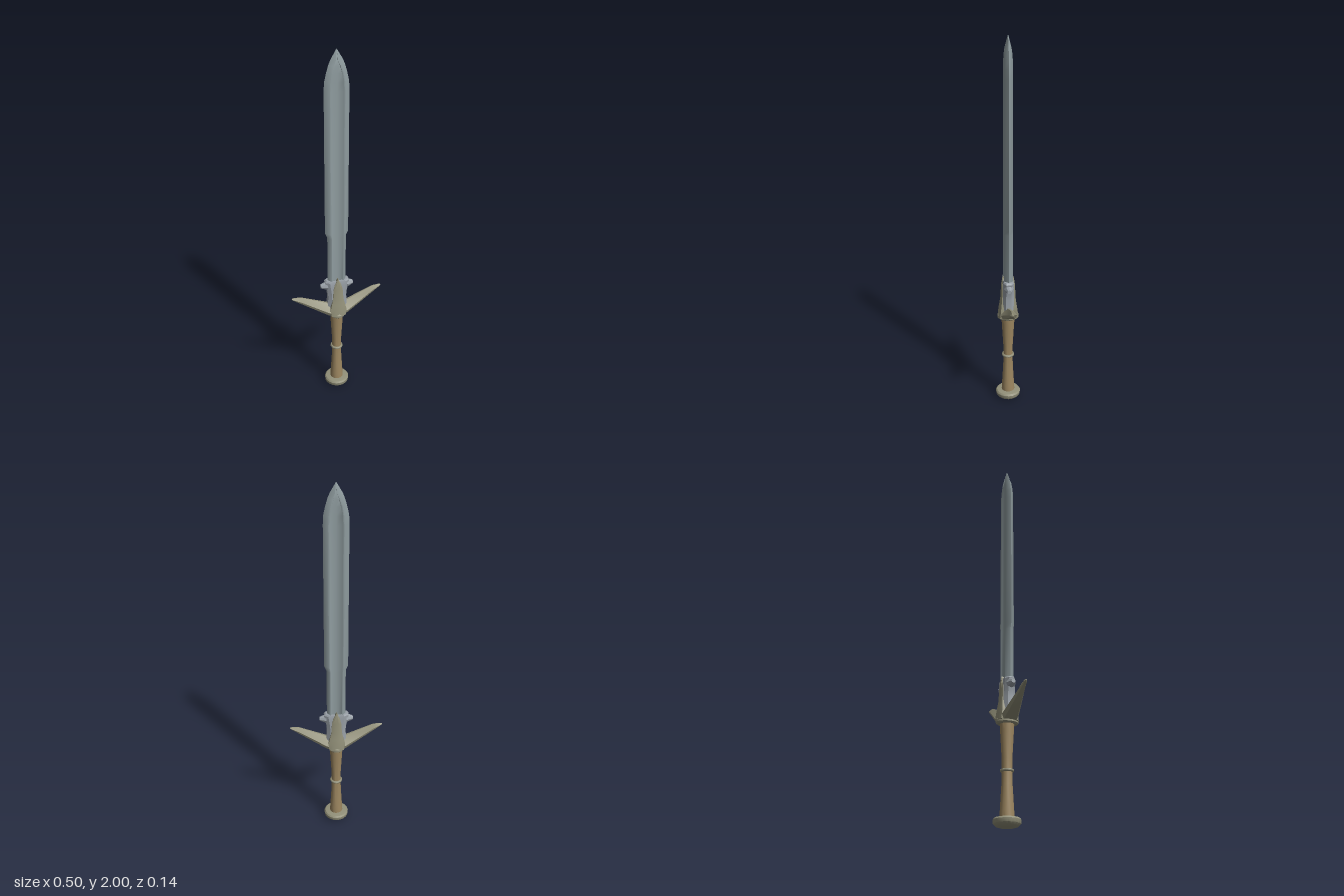
import * as THREE from 'three';
import { toCreasedNormals } from 'three/addons/utils/BufferGeometryUtils.js';

const material = (color) => new THREE.MeshStandardMaterial({ color });
const steel = material(0x8f9c9f);
const silver = material(0x9aa1a8);
const brass = material(0x929079);
const leather = material(0x9c8660);

function mesh(name, geometry, mat, crease = 0.5) {
  const m = new THREE.Mesh(toCreasedNormals(geometry, crease), mat);
  m.name = name;
  return m;
}

// Skin a list of rings (each counter-clockwise seen from the far end) and cap both ends
function loft(rings) {
  const n = rings[0].length;
  const positions = rings.flat(2);
  const index = [];
  for (let i = 0; i < rings.length - 1; i++) {
    for (let j = 0; j < n; j++) {
      const a = i * n + j, b = i * n + (j + 1) % n;
      index.push(a, b, b + n, a, b + n, a + n);
    }
  }
  for (const [ring, flip] of [[0, true], [rings.length - 1, false]]) {
    const centre = positions.length / 3;
    const c = [0, 1, 2].map((k) => rings[ring].reduce((s, p) => s + p[k], 0) / n);
    positions.push(...c);
    for (let j = 0; j < n; j++) {
      const a = ring * n + j, b = ring * n + (j + 1) % n;
      index.push(centre, flip ? b : a, flip ? a : b);
    }
  }
  const g = new THREE.BufferGeometry();
  g.setAttribute('position', new THREE.Float32BufferAttribute(positions, 3));
  g.setIndex(index);
  return g;
}

// Horizontal ring from a quarter section that runs from the +x edge to the middle of the face
function mirroredRing(y, quarter) {
  const mirrored = quarter.slice(1, -1).reverse().map(([x, z]) => [-x, z]);
  const half = [...quarter, ...mirrored];
  return [...half.map(([x, z]) => [x, y, -z]), ...half.map(([x, z]) => [-x, y, z])];
}

// Blade: half width, half thickness and fuller half width at each height
function blade() {
  const stations = [
    [0.56, 0.05, 0.023, 0.03], [1.0, 0.05, 0.023, 0.03], [1.03, 0.062, 0.023, 0.034],
    [1.8, 0.062, 0.021, 0.034], [1.845, 0.06, 0.021, 0.032], [1.89, 0.05, 0.02, 0.024],
    [1.925, 0.04, 0.018, 0.014], [1.95, 0.03, 0.014, 0.003], [2.0, 0.001, 0.001, 0.0004],
  ];
  return loft(stations.map(([y, w, t, f]) => mirroredRing(y, [
    [w, 0], [f + (w - f) * 0.15, t], [f, t], [f * 0.88, t * 0.75], [0, t * 0.72],
  ])));
}

// Sleeve around the foot of the blade
function sleeve() {
  const stations = [
    [0.54, 0.054, 0.03], [0.63, 0.05, 0.029], [0.665, 0.054, 0.028],
    [0.7, 0.062, 0.028], [0.725, 0.066, 0.027], [0.733, 0.058, 0.025],
  ];
  return loft(stations.map(([y, w, t]) => mirroredRing(y, [
    [w, 0], [w, t * 0.5], [w * 0.65, t], [0, t],
  ])));
}

// Pointed middle of the guard, lying over the sleeve front and back
function langet() {
  const stations = [
    [0.515, 0.04, 0.054], [0.55, 0.045, 0.05], [0.585, 0.037, 0.045],
    [0.62, 0.029, 0.04], [0.68, 0.025, 0.037], [0.71, 0.018, 0.035], [0.748, 0.001, 0.029],
  ];
  return loft(stations.map(([y, w, t]) => mirroredRing(y, [
    [w, 0], [w, t * 0.85], [w * 0.5, t], [0, t],
  ])));
}

// One arm of the guard: bottom, top and half depth along its length
function guardArm() {
  const stations = [
    [0, 0.512, 0.585, 0.052], [0.05, 0.516, 0.582, 0.043], [0.2, 0.611, 0.647, 0.014],
    [0.235, 0.634, 0.65, 0.009], [0.248, 0.642, 0.648, 0.004],
  ];
  return loft(stations.map(([x, lo, hi, d]) => {
    const mid = lo + (hi - lo) * 0.35;
    return [[x, lo, -d * 0.75], [x, mid, -d], [x, hi, -d * 0.15],
      [x, hi, d * 0.15], [x, mid, d], [x, lo, d * 0.75]];
  }));
}

function lathe(points) {
  return new THREE.LatheGeometry(points.map(([r, y]) => new THREE.Vector2(r, y)), 20);
}

export function createModel() {
  const model = new THREE.Group();
  model.name = 'sword';

  model.add(mesh('blade', blade(), steel, 1.2));
  model.add(mesh('bladeSleeve', sleeve(), silver));
  model.add(mesh('guardCentre', langet(), brass));

  // Guard arms and sleeve lugs on both sides
  for (const side of [0, Math.PI]) {
    const arm = mesh(side ? 'rightGuardArm' : 'leftGuardArm', guardArm(), brass);
    arm.rotation.y = side;
    const lugGeometry = new THREE.CylinderGeometry(0.011, 0.025, 0.036, 8)
      .rotateZ(-Math.PI / 2).translate(0.071, 0.698, 0);
    const lug = mesh(side ? 'rightLug' : 'leftLug', lugGeometry, silver);
    lug.rotation.y = side;
    model.add(arm, lug);
  }

  // Oval collar under the guard
  const collar = mesh('collar', lathe([
    [0, 0.5], [0.05, 0.5], [0.058, 0.507], [0.058, 0.52], [0.052, 0.528], [0, 0.528],
  ]), brass);
  collar.scale.x = 0.78;
  model.add(collar);

  // Waisted grip with a ring around its middle
  model.add(mesh('grip', lathe([
    [0, 0.04], [0.036, 0.04], [0.034, 0.08], [0.027, 0.2], [0.025, 0.27],
    [0.026, 0.33], [0.034, 0.47], [0.036, 0.505], [0, 0.505],
  ]), leather));
  const ring = new THREE.TorusGeometry(0.027, 0.0075, 8, 20).rotateX(Math.PI / 2).translate(0, 0.27, 0);
  model.add(mesh('gripRing', ring, brass, 1));

  // Rounded disc pommel
  model.add(mesh('pommel', lathe([
    [0, 0], [0.035, 0.002], [0.055, 0.008], [0.066, 0.019], [0.068, 0.037],
    [0.062, 0.045], [0.05, 0.047], [0, 0.047],
  ]), brass, 0.7));

  return model;
}
